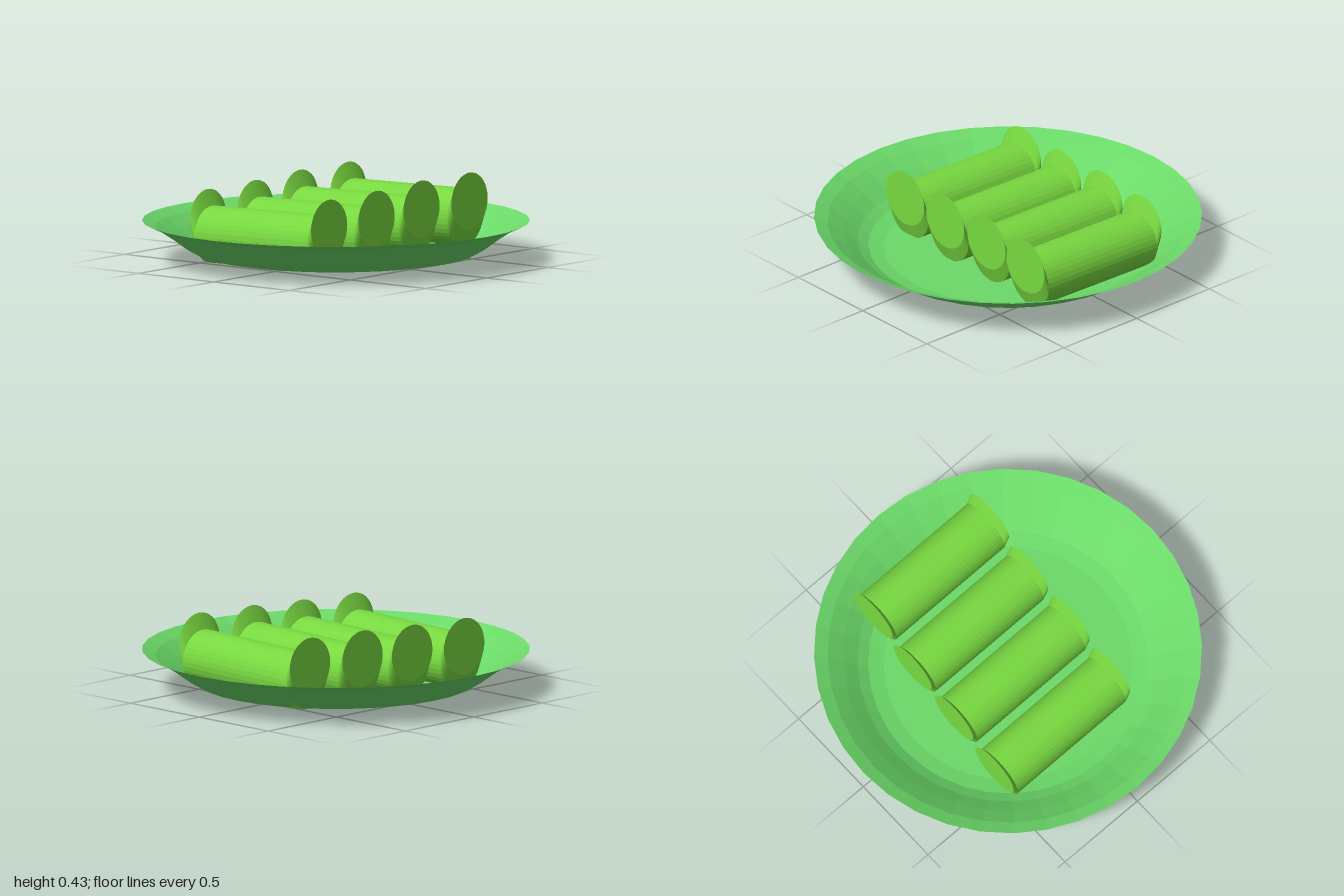
import * as THREE from 'three';

const plateMaterial = new THREE.MeshStandardMaterial({
  color: 0x6bd968, flatShading: true, side: THREE.DoubleSide });
const rollMaterial = new THREE.MeshStandardMaterial({
  color: 0x78d840, flatShading: true });

// Shallow dish turned from one thin profile
function createPlate() {
  const profile = [
    [0, 0.03], [0.64, 0.03], [0.72, 0.045], [0.775, 0.075],
    [0.85, 0.13], [0.93, 0.183], [1, 0.213],
  ].map(([r, y]) => new THREE.Vector2(r, y));
  const plate = new THREE.Mesh(new THREE.LatheGeometry(profile, 36), plateMaterial);
  plate.name = 'plate';
  return plate;
}

// Cylinder along x whose end discs are shifted upwards, so they stand up like ears
function createRoll(left, lift, z) {
  const radius = 0.148;
  const stations = [[0, 0.232], [0.03, 0.148], [0.775, 0.163], [0.805, 0.247]];
  const geometry = new THREE.CylinderGeometry(radius, radius, 3, 36, 3);
  geometry.rotateZ(-Math.PI / 2);
  const p = geometry.attributes.position;
  for (let i = 0; i < p.count; i++) {
    const [x, y] = stations[Math.round(p.getX(i) + 1.5)];
    p.setXYZ(i, x, p.getY(i) + y, p.getZ(i));
  }
  geometry.computeVertexNormals();
  const roll = new THREE.Mesh(geometry, rollMaterial);
  roll.position.set(left, lift, z);
  return roll;
}

export function createModel() {
  const model = new THREE.Group();
  model.name = 'plateOfRolls';
  model.add(createPlate());

  // Row of rolls, each a little further right and higher towards the back
  const rolls = new THREE.Group();
  rolls.name = 'rolls';
  [
    [-0.49, 0, 0.444],
    [-0.458, 0.011, 0.096],
    [-0.438, 0.029, -0.247],
    [-0.4, 0.036, -0.593],
  ].forEach(([left, lift, z], i) => {
    const roll = createRoll(left, lift, z);
    roll.name = `roll${i + 1}`;
    rolls.add(roll);
  });
  model.add(rolls);
  return model;
}
